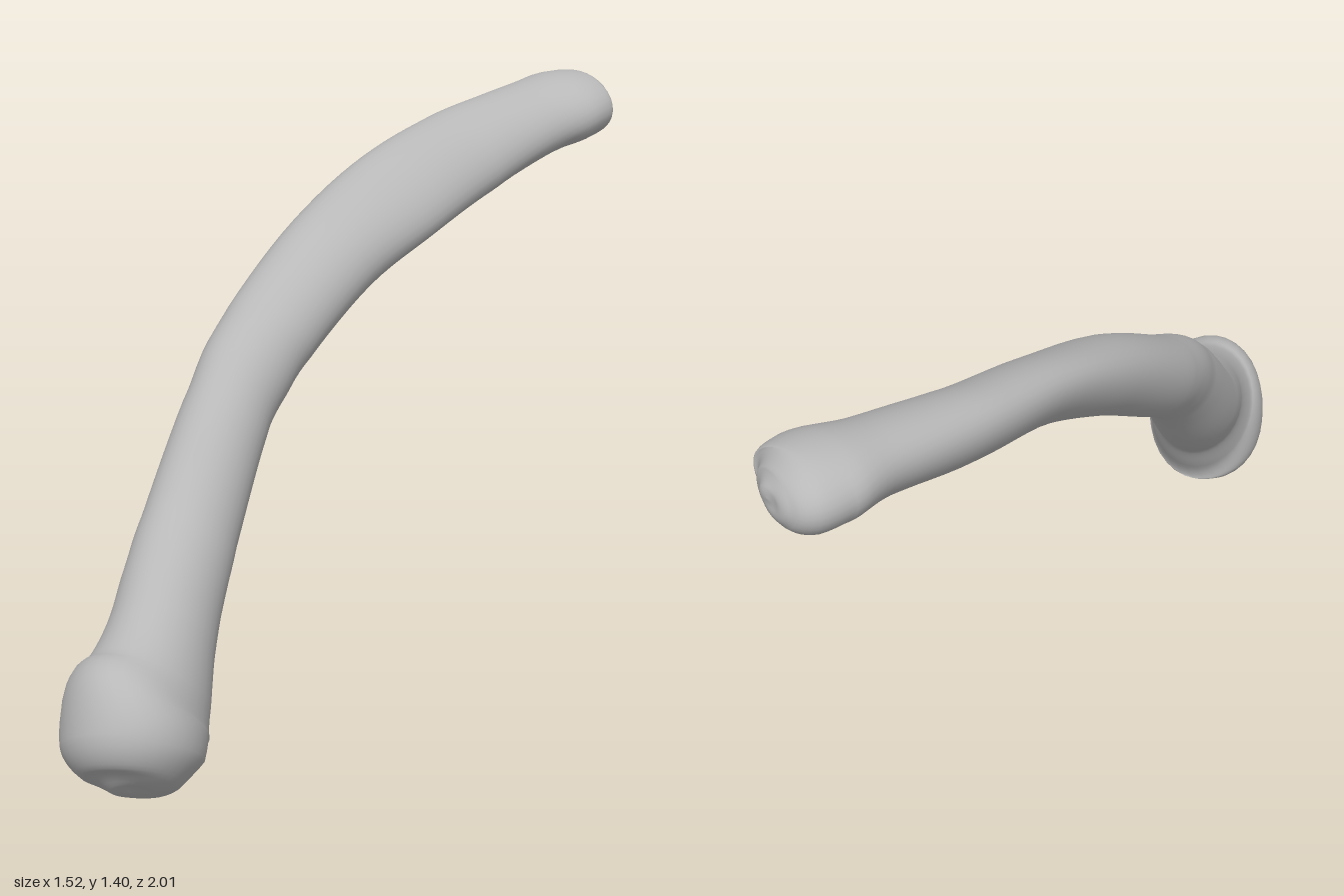
import * as THREE from 'three';

const RINGS = 120, SIDES = 32;

// Stations along the bone: centre x, y, z, long radius, short radius, tilt in degrees
const STATIONS = [
  // domed large head
  [-0.606, 0.076, 0.900, 0, 0, -95],
  [-0.606, 0.080, 0.896, 0.06, 0.05, -95],
  [-0.603, 0.096, 0.882, 0.138, 0.115, -95],
  [-0.598, 0.147, 0.845, 0.203, 0.168, -95],
  [-0.590, 0.210, 0.795, 0.222, 0.172, -93],
  [-0.563, 0.262, 0.738, 0.188, 0.148, -86],
  // curved, flattened shaft
  [-0.535, 0.335, 0.655, 0.152, 0.127, -76],
  [-0.507, 0.415, 0.535, 0.139, 0.119, -68],
  [-0.465, 0.520, 0.400, 0.128, 0.111, -58],
  [-0.374, 0.740, 0.200, 0.118, 0.104, -60],
  [-0.320, 0.832, 0.100, 0.121, 0.104, -48],
  [-0.255, 0.907, 0.000, 0.125, 0.103, -35],
  [-0.083, 1.063, -0.200, 0.135, 0.098, -33],
  [0.110, 1.170, -0.400, 0.147, 0.084, -36],
  [0.300, 1.238, -0.600, 0.141, 0.089, -35],
  // small flat head
  [0.510, 1.297, -0.768, 0.130, 0.091, -22],
  [0.622, 1.318, -0.850, 0.147, 0.096, -6],
  [0.672, 1.320, -0.893, 0.130, 0.088, -3],
  [0.708, 1.324, -0.911, 0.082, 0.056, 0],
  [0.722, 1.326, -0.917, 0.035, 0.025, 0],
  [0.725, 1.326, -0.919, 0, 0, 0],
];

// Sweeps tilted ellipses along the centre line
function boneGeometry() {
  const path = new THREE.CatmullRomCurve3(STATIONS.map((s) => new THREE.Vector3(s[0], s[1], s[2])));
  const shape = new THREE.CatmullRomCurve3(
    STATIONS.map((s) => new THREE.Vector3(s[3], s[4], THREE.MathUtils.degToRad(s[5]))));
  const up = new THREE.Vector3(0, 1, 0);
  const positions = [], index = [];

  for (let i = 0; i <= RINGS; i++) {
    const t = i / RINGS;
    const centre = path.getPoint(t);
    const tangent = path.getTangent(t);
    const side = tangent.clone().cross(up).normalize();
    const normal = side.clone().cross(tangent).normalize();
    const { x: a, y: b, z: tilt } = shape.getPoint(t);
    for (let j = 0; j < SIDES; j++) {
      const angle = (j / SIDES) * Math.PI * 2;
      const u = Math.max(a, 0) * Math.cos(angle), v = Math.max(b, 0) * Math.sin(angle);
      const p = centre.clone()
        .addScaledVector(side, u * Math.cos(tilt) - v * Math.sin(tilt))
        .addScaledVector(normal, u * Math.sin(tilt) + v * Math.cos(tilt));
      positions.push(p.x, p.y, p.z);
      if (i < RINGS) {
        const k = (j + 1) % SIDES;
        const p00 = i * SIDES + j, p01 = i * SIDES + k;
        const p10 = p00 + SIDES, p11 = p01 + SIDES;
        index.push(p00, p10, p01, p01, p10, p11);
      }
    }
  }

  const geometry = new THREE.BufferGeometry();
  geometry.setAttribute('position', new THREE.Float32BufferAttribute(positions, 3));
  geometry.setIndex(index);
  geometry.computeVertexNormals();
  return geometry;
}

export function createModel() {
  const grey = new THREE.MeshStandardMaterial({ color: 0xb8b8b8 });
  grey.name = 'bone grey';

  const bone = new THREE.Mesh(boneGeometry(), grey);
  bone.name = 'bone';

  const model = new THREE.Group();
  model.name = 'curvedBone';
  model.add(bone);
  return model;
}
